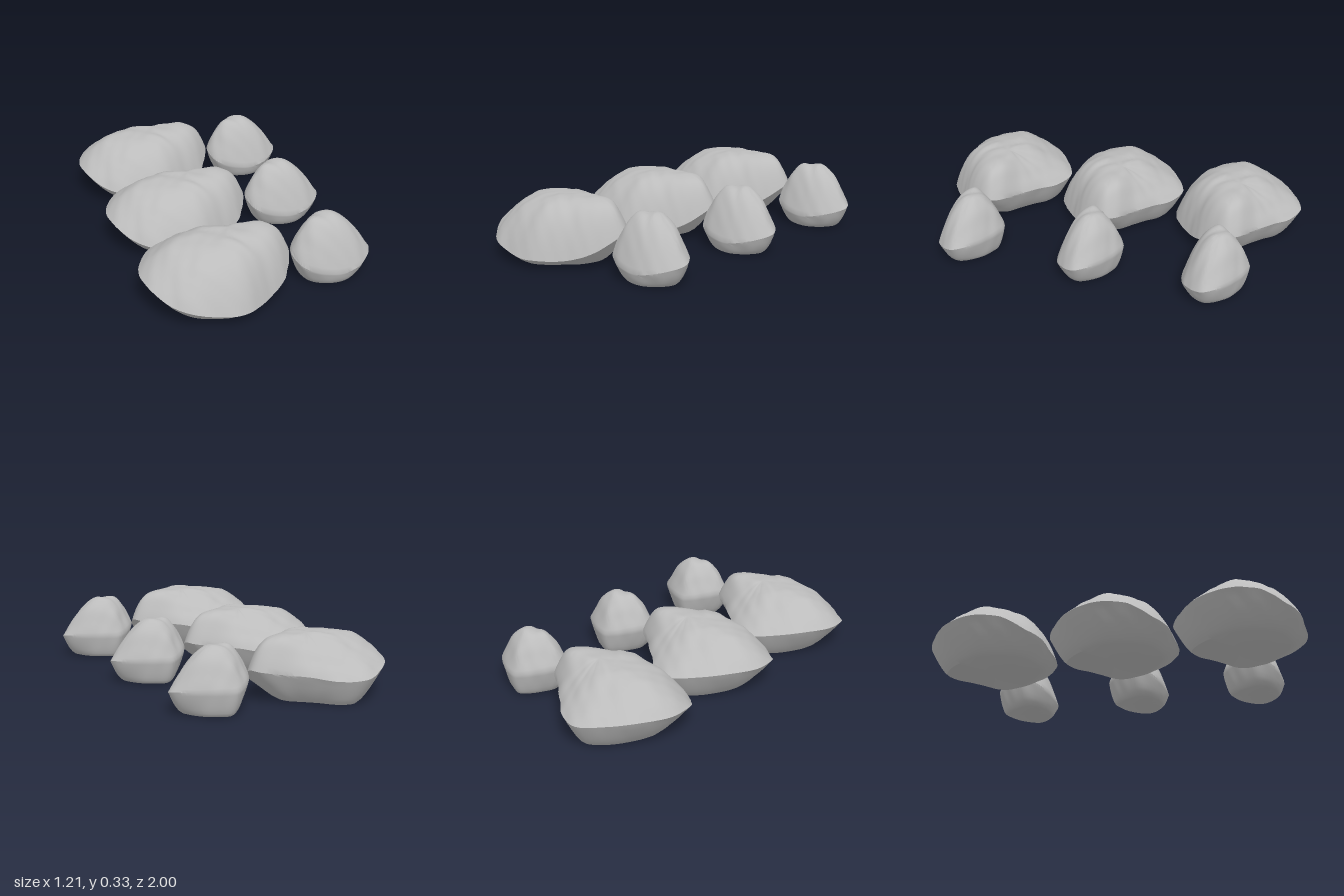
import * as THREE from 'three';
import { toCreasedNormals } from 'three/addons/utils/BufferGeometryUtils.js';

const SEG = 80, TOP = 18, LOW = 7;

// Gentle lumps that vary over the rock
function lumps(x, y, z) {
  return 0.5 * Math.sin(21 * x + 9 * z + 1.3) * Math.sin(17 * z - 6 * x + 8 * y)
    + 0.3 * Math.sin(43 * x - 25 * z + 2) * Math.cos(37 * z + 20 * y)
    + 0.2 * Math.sin(60 * x + 31 * y) * Math.sin(54 * z + 1);
}

// outline rows: x, z, height of the widest point, fullness of the slope above it
function rockGeometry({ outline, apex, base, shrink, belly, crack }) {
  const n = outline.length;
  const curve = new THREE.CatmullRomCurve3(
    outline.map(([x, z, y]) => new THREE.Vector3(x, y, z)), true);
  const pos = [], index = [], rows = TOP + LOW + 2;

  for (let i = 0; i < rows; i++) {
    for (let j = 0; j < SEG; j++) {
      const t = j / SEG, p = curve.getPoint(t);
      const k = Math.floor(t * n), f = t * n - k;
      const full = outline[k][3] * (1 - f) + outline[(k + 1) % n][3] * f;
      const dx = p.x - apex[0], dz = p.z - apex[2], len = Math.hypot(dx, dz);
      let x, y, z, push = 0;
      if (i <= TOP) {
        // crown, from the summit out to the widest line
        const s = Math.pow(i / TOP, 0.75);
        x = apex[0] + dx * s;
        z = apex[2] + dz * s;
        y = p.y + (apex[1] - p.y) * (1 - Math.pow(s, full));
        const m = lumps(x, y, z);
        y += 0.009 * m * Math.min(1, 3 * s) * (1 - 0.5 * s);
        push = 0.008 * m * s;
        // shallow crack running across the crown
        const d = (x - crack[0]) * crack[2] + (z - crack[1]) * crack[3];
        y -= 0.008 * Math.exp(-d * d / 0.0005) * (1 - s * s);
      } else if (i <= TOP + LOW) {
        // undercut, from the widest line in to the flat base
        const u = Math.pow((i - TOP) / LOW, 1.3);
        x = p.x + (base[0] - p.x) * (1 - shrink[0]) * u;
        z = p.z + (base[1] - p.z) * (1 - shrink[1]) * u;
        y = p.y * Math.pow(1 - u, belly);
        push = 0.008 * lumps(x, y, z) * (1 - u);
      } else {
        [x, y, z] = [base[0], 0, base[1]];
      }
      pos.push(x + push * dx / len, Math.max(0, y), z + push * dz / len);
    }
  }
  for (let i = 0; i < rows - 1; i++) {
    for (let j = 0; j < SEG; j++) {
      const a = i * SEG + j, d = i * SEG + (j + 1) % SEG;
      const b = a + SEG, c = d + SEG;
      if (i < rows - 2) index.push(a, b, c);
      if (i > 0) index.push(a, c, d);
    }
  }
  const geo = new THREE.BufferGeometry();
  geo.setAttribute('position', new THREE.Float32BufferAttribute(pos, 3));
  geo.setIndex(index);
  return toCreasedNormals(geo, 0.7);
}

const largeRock = {
  outline: [
    [0.17, 0, 0.17, 6], [0.145, -0.065, 0.17, 5], [0.035, -0.145, 0.16, 3],
    [-0.065, -0.22, 0.15, 1.8], [-0.155, -0.3, 0.14, 1.4], [-0.29, -0.34, 0.14, 1.4],
    [-0.43, -0.265, 0.16, 1.8], [-0.53, -0.155, 0.17, 2.6], [-0.605, -0.01, 0.17, 3.1],
    [-0.58, 0.14, 0.15, 3], [-0.515, 0.245, 0.11, 2.9], [-0.405, 0.31, 0.08, 3.1],
    [-0.21, 0.335, 0.05, 3.6], [-0.09, 0.29, 0.05, 3.8], [0.02, 0.205, 0.06, 4],
    [0.11, 0.135, 0.1, 4.5],
  ],
  apex: [-0.14, 0.33, -0.02], base: [-0.24, 0], shrink: [0.58, 0.74], belly: 1.3,
  crack: [-0.2, 0.015, 0.75, -0.66],
};

const smallRock = {
  outline: [
    [0.605, 0.015, 0.12, 1.5], [0.515, -0.1, 0.13, 1.8], [0.415, -0.15, 0.13, 2.2],
    [0.33, -0.17, 0.13, 2.4], [0.27, -0.13, 0.14, 2.6], [0.21, -0.055, 0.15, 3],
    [0.173, 0.025, 0.15, 3.2], [0.205, 0.1, 0.11, 2.9], [0.295, 0.15, 0.08, 2.6],
    [0.435, 0.16, 0.07, 2.4], [0.565, 0.09, 0.1, 1.8],
  ],
  apex: [0.39, 0.33, -0.02], base: [0.38, 0], shrink: [0.6, 0.75], belly: 1.8,
  crack: [0.35, 0, 0.8, -0.6],
};

export function createModel() {
  const group = new THREE.Group();
  const stone = new THREE.MeshStandardMaterial({ color: 0xbcbcbc });
  stone.name = 'stoneGrey';
  const large = rockGeometry(largeRock), small = rockGeometry(smallRock);

  // three identical pairs in a row
  for (const z of [-0.66, 0, 0.66]) {
    const pair = new THREE.Group();
    pair.name = 'rockPair';
    for (const [name, geo] of [['largeRock', large], ['smallRock', small]]) {
      const mesh = new THREE.Mesh(geo, stone);
      mesh.name = name;
      pair.add(mesh);
    }
    pair.position.z = z;
    group.add(pair);
  }
  return group;
}
